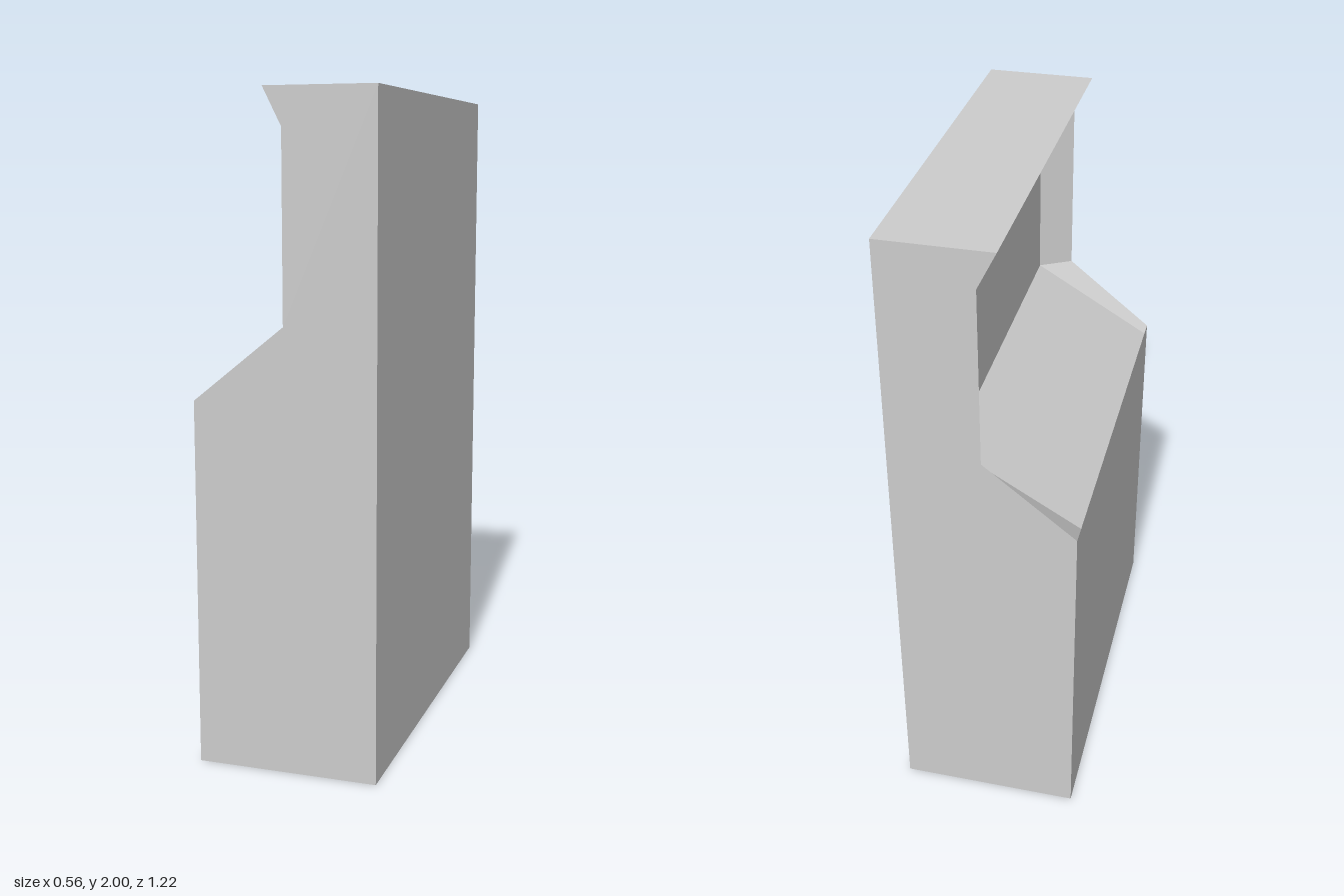
import * as THREE from 'three';

const HALF_DEPTH = 0.611, INNER_DEPTH = 0.555;

// Side outline, counter-clockwise seen from the front
const OUTLINE = [[-0.278, 0], [0.278, 0], [0.278, 2], [-0.056, 2], [0, 1.889], [0, 1.335], [-0.278, 1.111]];
// Hood, screen and control panel lines: at the outer rim and sunk into the body
const RIM = OUTLINE.slice(3);
const SUNK = [[-0.056, 2], [0.1, 1.889], [0.1, 1.335], [-0.278, 1.111]];

// Four-cornered faces, each with one flat normal
function quads(faces) {
  const pos = [], nor = [];
  for (const f of faces) {
    const [a, b, c, d] = f.map((p) => new THREE.Vector3(...p));
    const n = c.clone().sub(a).cross(d.clone().sub(b)).normalize();
    for (const v of [a, b, c, a, c, d]) {
      pos.push(v.x, v.y, v.z);
      nor.push(n.x, n.y, n.z);
    }
  }
  const g = new THREE.BufferGeometry();
  g.setAttribute('position', new THREE.Float32BufferAttribute(pos, 3));
  g.setAttribute('normal', new THREE.Float32BufferAttribute(nor, 3));
  return g;
}

// Face running along edge i, from line A at depth za to line B at depth zb
function span(A, za, B, zb, i) {
  const j = (i + 1) % A.length;
  return [[...A[i], za], [...B[i], zb], [...B[j], zb], [...A[j], za]];
}

export function createModel() {
  const model = new THREE.Group();
  model.name = 'cabinet';
  const grey = new THREE.MeshStandardMaterial({ color: 0xcccccc });
  grey.name = 'light grey';

  const add = (name, geometry) => {
    const mesh = new THREE.Mesh(geometry, grey);
    mesh.name = name;
    model.add(mesh);
    return mesh;
  };

  // Flat side walls
  const shape = new THREE.Shape(OUTLINE.map((p) => new THREE.Vector2(...p)));
  add('frontSide', new THREE.ShapeGeometry(shape)).position.z = HALF_DEPTH;
  const mirrored = new THREE.Shape(OUTLINE.map(([x, y]) => new THREE.Vector2(-x, y)));
  const back = add('backSide', new THREE.ShapeGeometry(mirrored));
  back.position.z = -HALF_DEPTH;
  back.rotation.y = Math.PI;

  // Straight outer walls
  [['base', 0], ['rearWall', 1], ['roof', 2], ['lowerPanel', 6]].forEach(([name, i]) =>
    add(name, quads([span(OUTLINE, HALF_DEPTH, OUTLINE, -HALF_DEPTH, i)])));

  // Recess between the sides, with a bevelled rim at each end
  ['hood', 'screen', 'controlPanel'].forEach((name, i) => {
    add(name, quads([span(SUNK, INNER_DEPTH, SUNK, -INNER_DEPTH, i)]));
    add(name + 'Rim', quads([
      span(RIM, HALF_DEPTH, SUNK, INNER_DEPTH, i),
      span(SUNK, -INNER_DEPTH, RIM, -HALF_DEPTH, i),
    ]));
  });

  return model;
}
